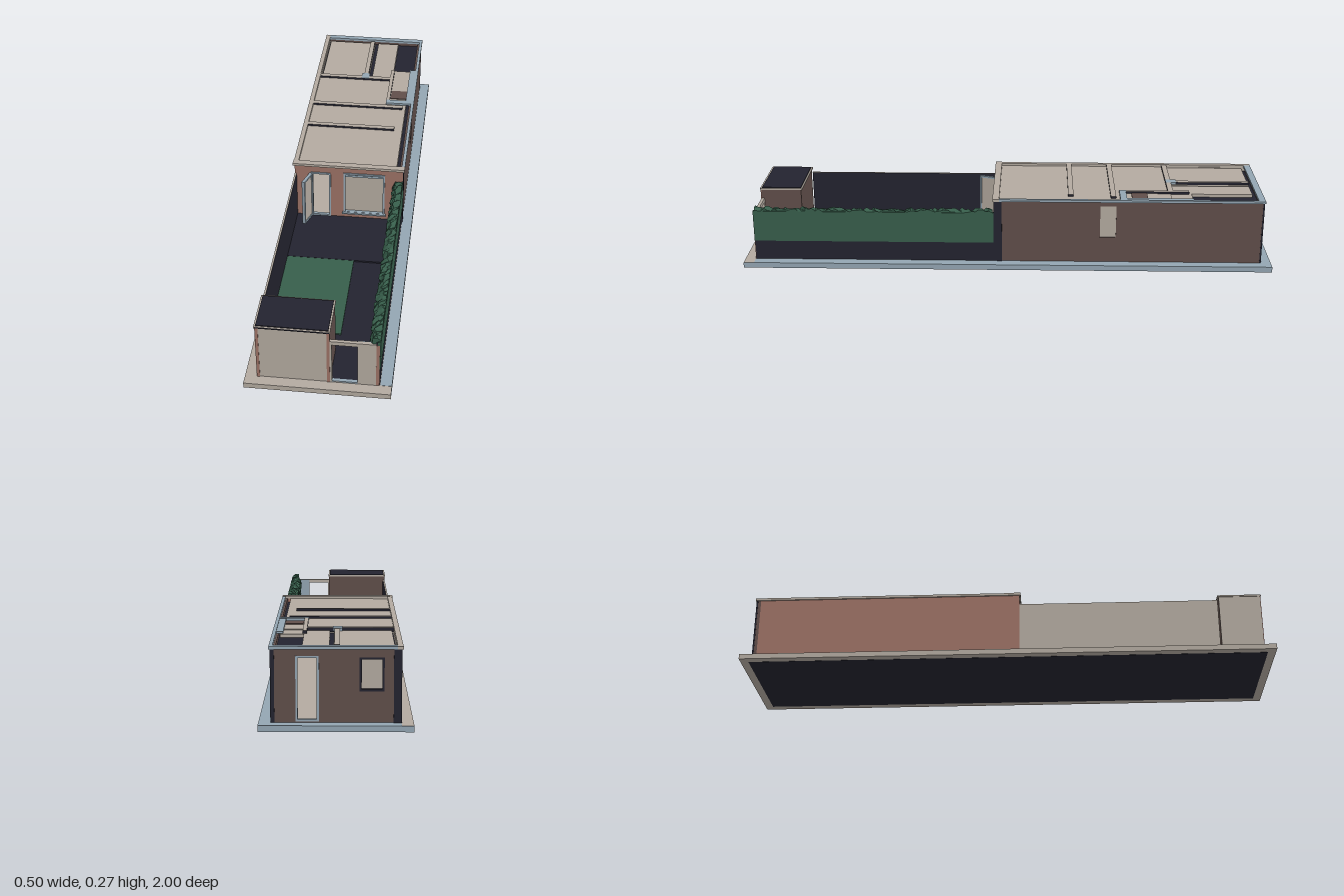
import * as THREE from 'three';

const mat = (name, color) => {
  const m = new THREE.MeshStandardMaterial({ color });
  m.name = name;
  return m;
};

export function createModel() {
  const beige = mat('beige plaster', 0xb3aaa0);
  const red = mat('red brick', 0x9c7165);
  const brown = mat('brown brick', 0x604e4a);
  const navy = mat('dark slate', 0x23232f);
  const green = mat('grass green', 0x375e4b);
  const blue = mat('blue grey trim', 0x93a5b2);

  const root = new THREE.Group();
  const group = (name) => {
    const g = new THREE.Group();
    g.name = name;
    root.add(g);
    return g;
  };
  const add = (parent, name, geo, m) => {
    const mesh = new THREE.Mesh(geo, m);
    mesh.name = name;
    parent.add(mesh);
    return mesh;
  };
  // box from its limits; m may list materials as +x, -x, +y, -y, +z, -z
  const box = (parent, name, m, x0, x1, y0, y1, z0, z1) => {
    const geo = new THREE.BoxGeometry(x1 - x0, y1 - y0, z1 - z0);
    geo.translate((x0 + x1) / 2, (y0 + y1) / 2, (z0 + z1) / 2);
    return add(parent, name, geo, m);
  };
  // upright wall with rectangular holes [u0, u1, y0, y1]
  const wall = (parent, name, m, u0, u1, y0, y1, holes, depth) => {
    const s = new THREE.Shape([[u0, y0], [u1, y0], [u1, y1], [u0, y1]].map(p => new THREE.Vector2(...p)));
    for (const [a, b, c, d] of holes) {
      s.holes.push(new THREE.Path([[a, c], [a, d], [b, d], [b, c]].map(p => new THREE.Vector2(...p))));
    }
    return add(parent, name, new THREE.ExtrudeGeometry(s, { depth, bevelEnabled: false }), m);
  };
  // rectangular frame, facing z
  const frame = (parent, name, m, [a, b, c, d], z, w = 0.007, t = 0.012) => {
    const f = wall(parent, name, m, a, b, c, d, [[a + w, b - w, c + w, d - w]], t);
    f.position.z = z - t / 2;
    return f;
  };

  // base plate
  const base = group('base');
  box(base, 'basePlate', [blue, beige, beige, beige, beige, blue], -0.25, 0.25, 0, 0.02, -1, 1);
  box(base, 'rightLedge', blue, 0.21, 0.25, 0.02, 0.021, -1, 0.96);
  box(base, 'backLedge', blue, -0.21, 0.25, 0.02, 0.021, -1, -0.96);
  box(base, 'underside', navy, -0.22, 0.22, -0.0005, 0.002, -0.97, 0.97);

  // house walls
  const house = group('house');
  const top = 0.262, T = 0.015;
  const door = [-0.146, -0.07, 0.03, 0.235];
  const win = [-0.02, 0.14, 0.05, 0.24];
  const backDoor = [0.055, 0.13, 0.025, 0.24];
  const backWin = [-0.155, -0.075, 0.125, 0.235];
  wall(house, 'frontWall', red, -0.21, 0.21, 0.02, top, [door, win], T).position.z = 0.035;
  wall(house, 'backWall', brown, -0.21, 0.21, 0.02, top, [backDoor, backWin], T).position.z = -0.96;
  const rightWall = wall(house, 'rightWall', brown, -0.945, 0.035, 0.02, top, [[-0.41, -0.35, 0.12, 0.245]], T);
  rightWall.rotation.y = -Math.PI / 2;
  rightWall.position.x = 0.21;
  box(house, 'leftWall', [beige, red, beige, beige, red, brown], -0.21, -0.195, 0.02, top, -0.945, 0.035);
  box(house, 'rightWallEnd', navy, 0.209, 0.212, 0.02, top, 0.02, 0.051);
  box(house, 'floor', beige, -0.195, 0.195, 0.02, 0.026, -0.945, 0.035);
  for (const [a, b] of [[-0.211, -0.185], [0.198, 0.211]]) {
    box(house, 'backCorner', navy, a, b, 0.02, top, -0.962, -0.956);
  }

  // doors and windows
  const openings = group('doorsAndWindows');
  frame(openings, 'doorFrame', blue, door, 0.048);
  frame(openings, 'windowFrame', blue, win, 0.048);
  box(openings, 'windowPane', beige, -0.015, 0.135, 0.055, 0.235, 0.036, 0.042);
  box(openings, 'windowTransom', blue, -0.015, 0.135, 0.22, 0.228, 0.04, 0.048);
  box(openings, 'windowSill', blue, -0.025, 0.145, 0.05, 0.056, 0.035, 0.062);
  frame(openings, 'backDoorFrame', blue, backDoor, -0.957);
  frame(openings, 'backWindowFrame', navy, backWin, -0.957);
  box(openings, 'backWindowPane', beige, -0.15, -0.08, 0.13, 0.23, -0.954, -0.948);
  box(openings, 'sidePane', beige, 0.2, 0.207, 0.12, 0.245, -0.41, -0.35);
  // door leaf standing open
  const leaf = new THREE.Group();
  leaf.name = 'openDoor';
  leaf.position.set(-0.146, 0, 0.05);
  leaf.rotation.y = -1.9;
  openings.add(leaf);
  frame(leaf, 'leafFrame', blue, [0, 0.07, 0.032, 0.23], 0);
  box(leaf, 'leafPanel', beige, 0.007, 0.063, 0.04, 0.223, -0.003, 0.003);

  // roof: ceiling, rim and the raised tops of the inner walls
  const roof = group('roof');
  const bar = [navy, navy, beige, navy, navy, navy];
  box(roof, 'recess', navy, -0.195, 0.2, 0.24, 0.247, -0.945, 0.035);
  box(roof, 'mainCeiling', beige, -0.205, 0.183, 0.248, 0.262, -0.62, 0.04);
  box(roof, 'backLeftCeiling', beige, -0.19, 0.008, 0.248, 0.26, -0.93, -0.62);
  box(roof, 'backRightCeiling', beige, 0.022, 0.11, 0.248, 0.26, -0.93, -0.62);
  box(roof, 'sideCeiling', beige, 0.11, 0.19, 0.248, 0.26, -0.7, -0.62);
  box(roof, 'frontRim', beige, -0.217, 0.215, top, 0.272, 0.03, 0.055);
  box(roof, 'leftRim', beige, -0.215, -0.197, top, 0.271, -0.965, 0.03);
  box(roof, 'rightRim', blue, 0.203, 0.215, top, 0.271, -0.965, 0.03);
  box(roof, 'backRim', blue, -0.197, 0.203, top, 0.271, -0.965, -0.94);
  for (const [x0, x1, z] of [[-0.197, 0.15, -0.24], [-0.197, 0.17, -0.4], [-0.197, 0.1, -0.62]]) {
    box(roof, 'crossWallTop', bar, x0, x1, 0.255, 0.27, z - 0.01, z + 0.01);
  }
  box(roof, 'backRoomWallTop', bar, -0.012, 0.006, 0.255, 0.27, -0.93, -0.63);
  box(roof, 'hallWallTop', bar, 0.1, 0.114, 0.255, 0.27, -0.69, -0.45);
  box(roof, 'bathWallTop', blue, 0.1, 0.203, 0.262, 0.27, -0.45, -0.425);
  box(roof, 'stairPanel', brown, 0.116, 0.18, 0.262, 0.265, -0.53, -0.47);
  box(roof, 'stairTrim', blue, 0.18, 0.203, 0.262, 0.269, -0.7, -0.44);
  box(roof, 'wallEndTrim', blue, -0.02, 0.012, 0.262, 0.2715, -0.65, -0.61);

  // garden floor, terrace and lawn
  const garden = group('garden');
  box(garden, 'paving', navy, -0.205, 0.205, 0.02, 0.024, 0.05, 0.955);
  box(garden, 'terrace', navy, -0.205, 0.17, 0.024, 0.03, 0.05, 0.32);
  box(garden, 'lawn', green, -0.205, 0.05, 0.024, 0.029, 0.32, 0.73);
  box(garden, 'leftWall', [navy, beige, beige, beige, beige, beige], -0.21, -0.203, 0.02, 0.225, 0.05, 0.8);
  box(garden, 'rightFence', navy, 0.195, 0.209, 0.02, 0.21, 0.05, 0.958);

  // hedge: flat outer face, leafy top and inner side
  box(garden, 'hedgeFace', green, 0.2, 0.211, 0.095, 0.215, 0.05, 0.96);
  const hedgeGeo = new THREE.BoxGeometry(0.034, 0.085, 0.9, 3, 4, 70).toNonIndexed();
  hedgeGeo.translate(0.192, 0.178, 0.505);
  const p = hedgeGeo.attributes.position;
  const noise = (a, b, c) => {
    const n = Math.sin(a * 913.7 + b * 1571.3 + c * 447.1) * 4375.85;
    return n - Math.floor(n);
  };
  for (let i = 0; i < p.count; i++) {
    const [x, y, z] = [p.getX(i), p.getY(i), p.getZ(i)].map(v => Math.round(v * 1e4) / 1e4);
    const r = noise(x, y, z);
    if (x < 0.2) p.setX(i, x + (r - 0.5) * 0.014);
    p.setY(i, y + (noise(z, x, y) - 0.5) * 0.014 - (x < 0.18 && y > 0.21 ? 0.015 : 0));
  }
  hedgeGeo.computeVertexNormals();
  add(garden, 'hedge', hedgeGeo, green);

  // shed in the front corner
  const shed = group('shed');
  box(shed, 'shedBody', [brown, beige, beige, beige, beige, brown], -0.21, 0.04, 0.02, 0.24, 0.805, 0.96);
  box(shed, 'shedRim', beige, -0.213, 0.042, 0.238, 0.244, 0.8, 0.963);
  box(shed, 'shedRoof', navy, -0.207, 0.036, 0.244, 0.247, 0.806, 0.957);
  box(shed, 'shedRoofEdge', navy, -0.21, 0.04, 0.239, 0.243, 0.96, 0.9645);
  for (const x of [-0.209, 0.03]) {
    box(shed, 'brickEdge', red, x, x + 0.01, 0.02, 0.238, 0.959, 0.9625);
  }

  // front wall with its gateway
  const gate = group('frontGate');
  wall(gate, 'gateWall', beige, 0.04, 0.196, 0.02, 0.203, [[0.047, 0.133, 0.025, 0.188]], 0.012).position.z = 0.949;
  box(gate, 'gateWallBack', blue, 0.133, 0.196, 0.02, 0.203, 0.946, 0.949);
  box(gate, 'gateWallEnd', red, 0.196, 0.207, 0.02, 0.2, 0.949, 0.9605);
  box(gate, 'gateStep', blue, 0.047, 0.133, 0.02, 0.026, 0.949, 0.961);
  return root;
}
